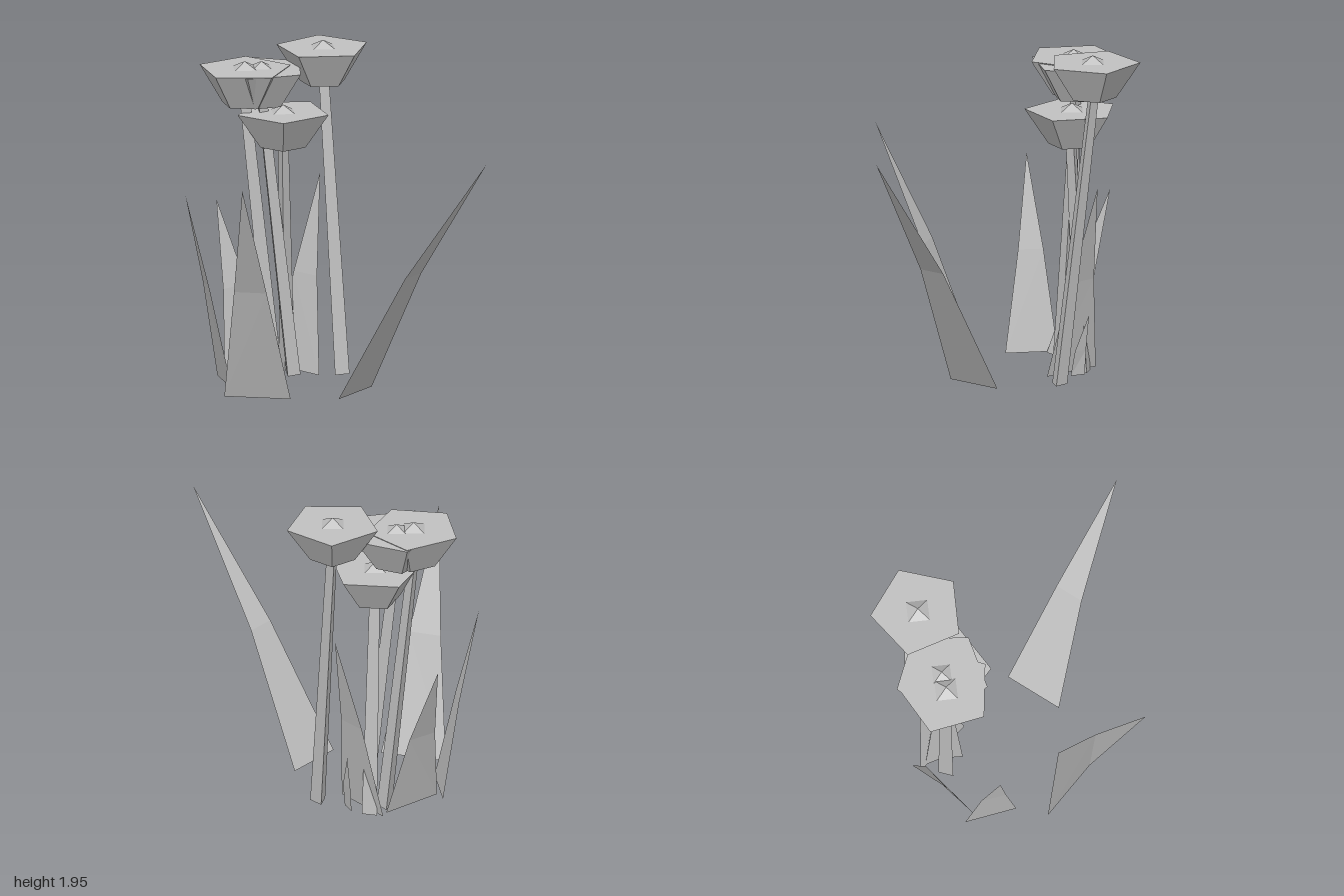
import * as THREE from 'three';

const gray = new THREE.MeshStandardMaterial({ color: 0xc0c0c0, flatShading: true, side: THREE.DoubleSide });
gray.name = 'plain gray';

const rad = THREE.MathUtils.degToRad;

function part(name, geometry) {
  const mesh = new THREE.Mesh(geometry, gray);
  mesh.name = name;
  return mesh;
}

// Three-sided tapering stem leaning from its base [x, z] to its top [x, z]
function stem(base, top, height, angle) {
  const geo = new THREE.CylinderGeometry(0.036, 0.052, height, 3, 1, false, rad(90 - angle));
  geo.translate(0, height / 2, 0);
  const pos = geo.attributes.position;
  for (let i = 0; i < pos.count; i++) {
    const t = pos.getY(i) / height;
    pos.setX(i, pos.getX(i) + THREE.MathUtils.lerp(base[0], top[0], t));
    pos.setZ(i, pos.getZ(i) + THREE.MathUtils.lerp(base[1], top[1], t));
  }
  return part('stem', geo);
}

// Five-sided flower cup with a low four-sided centre on a stem
function flower({ base, top, bottomY, rimY, angle }) {
  const group = new THREE.Group();
  group.name = 'flower';
  const h = rimY - bottomY;
  const cup = part('flowerCup', new THREE.CylinderGeometry(0.277, 0.137, h, 5, 1, false, rad(90 - angle)));
  cup.position.set(top[0], bottomY + h / 2, top[1]);
  const centre = part('flowerCentre', new THREE.ConeGeometry(0.088, 0.042, 4));
  centre.position.set(top[0], rimY + 0.021, top[1]);
  group.add(stem(base, top, bottomY + 0.005, angle + 32), cup, centre);
  return group;
}

// Flat blade with one bend: base pair, middle pair, tip
function leaf(points) {
  const geo = new THREE.BufferGeometry();
  geo.setAttribute('position', new THREE.Float32BufferAttribute(points.flat(), 3));
  geo.setIndex([0, 1, 3, 0, 3, 2, 2, 3, 4]);
  const flat = geo.toNonIndexed();
  flat.computeVertexNormals();
  return part('leaf', flat);
}

export function createModel() {
  const model = new THREE.Group();
  model.name = 'flowerPlant';

  const flowers = [
    { base: [0.457, -0.283], top: [0.54, -0.48], bottomY: 1.7, rimY: 1.91, angle: 28 },
    { base: [0.23, -0.6], top: [0.13, -0.735], bottomY: 1.61, rimY: 1.824, angle: 35 },
    { base: [0.26, -0.49], top: [0.21, -0.675], bottomY: 1.605, rimY: 1.818, angle: 14 },
    { base: [0.35, -0.6], top: [0.28, -0.57], bottomY: 1.355, rimY: 1.56, angle: -3 },
  ];
  flowers.forEach((f) => model.add(flower(f)));

  const leaves = [
    // front
    [[-0.045, 0.01, 0.1], [0.305, 0.01, 0.068], [0.09, 0.765, 0.485], [0.262, 0.765, 0.47], [0.225, 1.51, 0.985]],
    // left
    [[-0.405, 0.01, -0.46], [-0.215, 0.01, -0.12], [-0.56, 0.7, -0.265], [-0.47, 0.7, -0.095], [-0.785, 1.39, -0.025]],
    // back left
    [[-0.235, 0.01, -0.54], [-0.055, 0.01, -0.79], [-0.27, 0.6, -0.68], [-0.18, 0.6, -0.798], [-0.33, 1.15, -0.81]],
    // back
    [[-0.075, 0.01, -0.72], [0.3, 0.01, -0.68], [0.05, 0.5, -0.83], [0.23, 0.5, -0.8], [0.18, 0.99, -0.985]],
    // right
    [[0.315, 0.01, -0.33], [0.345, 0.01, -0.7], [0.415, 0.57, -0.425], [0.425, 0.57, -0.605], [0.55, 1.15, -0.51]],
    // small right
    [[0.4, 0.01, -0.44], [0.43, 0.01, -0.525], [0.425, 0.16, -0.45], [0.44, 0.16, -0.525], [0.465, 0.37, -0.525]],
  ];
  leaves.forEach((points) => model.add(leaf(points)));

  return model;
}
